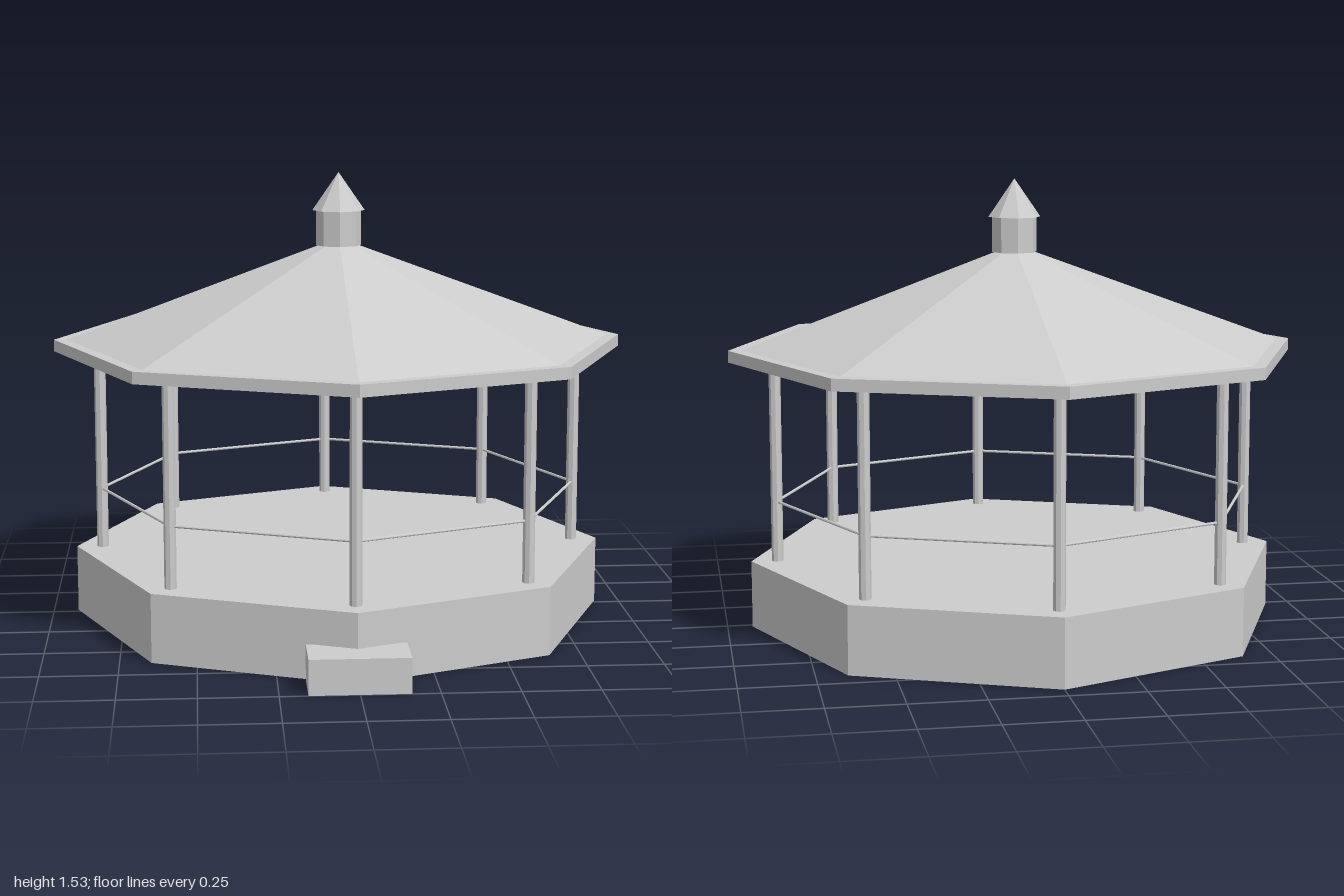
import * as THREE from 'three';

export function createModel() {
  const model = new THREE.Group();
  model.name = 'gazebo';
  const grey = new THREE.MeshStandardMaterial({ color: 0xcccccc, flatShading: true });
  grey.name = 'plain grey';

  // Everything but the step is arranged around this axis
  const pavilion = new THREE.Group();
  pavilion.name = 'pavilion';
  pavilion.position.z = -0.02;
  model.add(pavilion);

  const add = (parent, name, geometry) => {
    const mesh = new THREE.Mesh(geometry, grey);
    mesh.name = name;
    parent.add(mesh);
    return mesh;
  };

  // Upright eight-sided prism or frustum between two heights
  const octagon = (name, rTop, rBottom, y0, y1) => {
    const geometry = new THREE.CylinderGeometry(rTop, rBottom, y1 - y0, 8);
    add(pavilion, name, geometry).position.y = (y0 + y1) / 2;
  };

  octagon('floorBase', 0.915, 0.915, 0, 0.23);
  octagon('eave', 0.98, 0.98, 0.92, 0.96);
  octagon('roof', 0.06, 0.935, 0.96, 1.283);
  octagon('cupola', 0.077, 0.077, 1.28, 1.4);
  octagon('cupolaCap', 0, 0.09, 1.4, 1.53);

  // Posts at the eight corners, with a thin rail along each side
  const postRadius = 0.825;
  const postGeometry = new THREE.CylinderGeometry(0.02, 0.02, 0.69, 8);
  const railLength = 2 * postRadius * Math.sin(Math.PI / 8);
  const railGeometry = new THREE.CylinderGeometry(0.005, 0.005, railLength, 8).rotateZ(Math.PI / 2);
  for (let i = 0; i < 8; i++) {
    const bay = new THREE.Group();
    bay.name = 'bay';
    bay.rotation.y = (i * Math.PI) / 4;
    pavilion.add(bay);
    add(bay, 'post', postGeometry).position.set(0, 0.575, postRadius);

    const side = new THREE.Group();
    side.name = 'railSide';
    side.rotation.y = Math.PI / 8;
    bay.add(side);
    add(side, 'rail', railGeometry).position.set(0, 0.437, postRadius * Math.cos(Math.PI / 8));
  }

  // Entrance step at the front corner
  add(model, 'step', new THREE.BoxGeometry(0.32, 0.115, 0.165)).position.set(0, 0.0575, 0.9175);

  return model;
}
